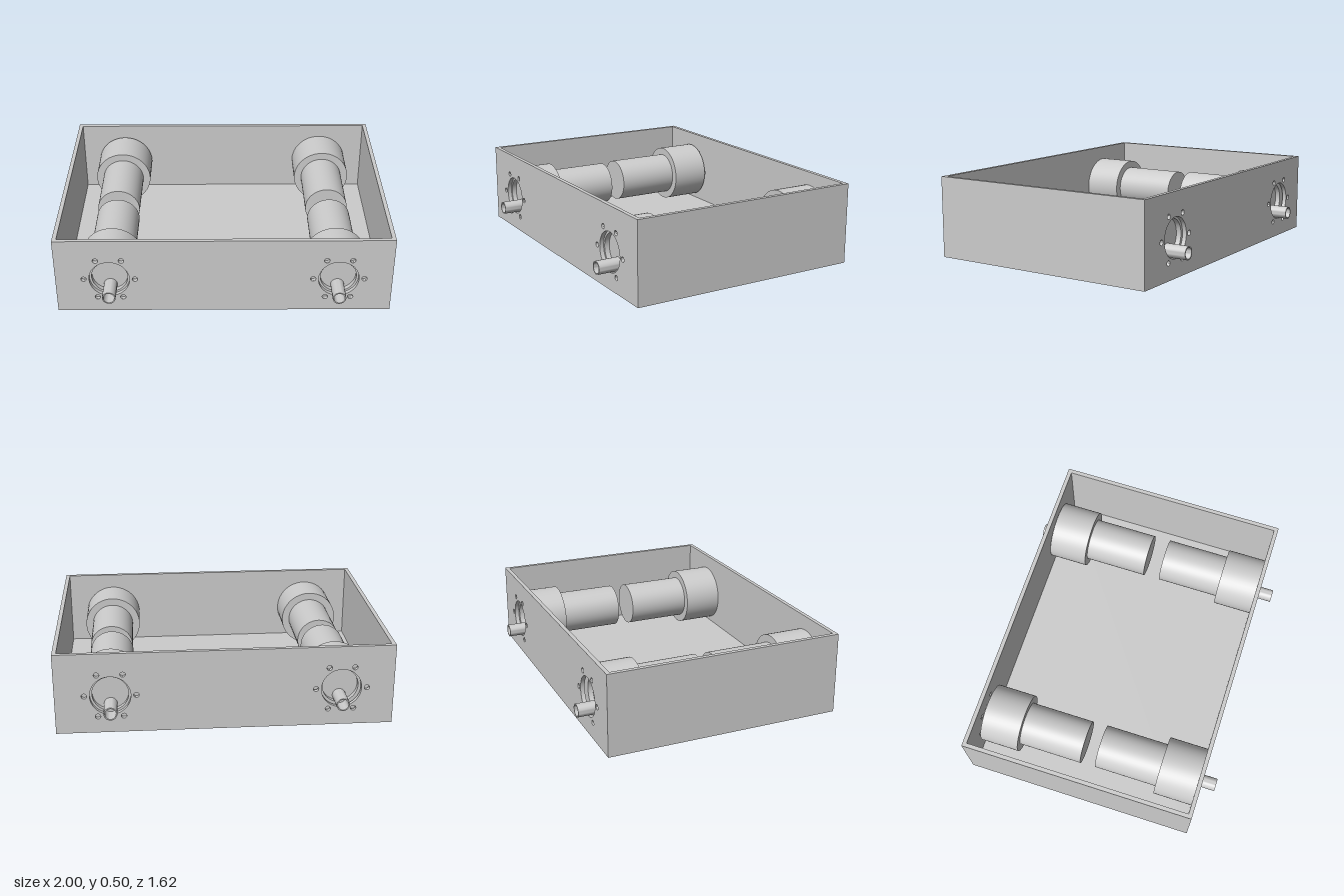
import * as THREE from 'three';
import { toCreasedNormals } from 'three/addons/utils/BufferGeometryUtils.js';

const material = new THREE.MeshStandardMaterial({ color: 0xcccccc });
const WALL = 0.025, HEIGHT = 0.5, FRONT = 0.72, BACK = -0.73;

// x and y of the axis, shaft height, gearbox face and facing (+1 front, -1 back)
const MOTORS = [
  { x: -0.68, y: 0.23, shaftY: 0.155, face: 0.695, side: 1 },
  { x: 0.68, y: 0.227, shaftY: 0.148, face: 0.695, side: 1 },
  { x: -0.685, y: 0.235, shaftY: 0.16, face: 0.69, side: -1 },
  { x: 0.675, y: 0.235, shaftY: 0.157, face: 0.702, side: -1 },
];

function add(parent, name, geometry, x = 0, y = 0, z = 0) {
  const mesh = new THREE.Mesh(geometry, material);
  mesh.name = name;
  mesh.position.set(x, y, z);
  parent.add(mesh);
  return mesh;
}

// Turned solid along +z from [radius, z] pairs
function turned(profile, segments) {
  const points = profile.map(([r, z]) => new THREE.Vector2(r, z));
  const geometry = new THREE.LatheGeometry(points, segments).rotateX(Math.PI / 2);
  return toCreasedNormals(geometry, 0.6);
}

function circleHole(shape, x, y, r) {
  shape.holes.push(new THREE.Path().absarc(x, y, r, 0, Math.PI * 2, true));
}

// End wall with a shaft opening and six screw holes per motor
function endWall(motors) {
  const shape = new THREE.Shape();
  shape.moveTo(-1, 0).lineTo(1, 0).lineTo(1, HEIGHT).lineTo(-1, HEIGHT).closePath();
  for (const { x, y } of motors) {
    circleHole(shape, x, y, 0.12);
    for (let i = 0; i < 6; i++) {
      const a = (i * Math.PI) / 3;
      circleHole(shape, x + 0.152 * Math.cos(a), y + 0.152 * Math.sin(a), 0.016);
    }
  }
  const geometry = new THREE.ExtrudeGeometry(shape, {
    depth: WALL, bevelEnabled: false, curveSegments: 32,
  });
  return toCreasedNormals(geometry, 0.6);
}

// Motor facing +z, with the gearbox face at z = 0
function createMotor(shaftDrop) {
  const motor = new THREE.Group();
  motor.name = 'gearMotor';
  add(motor, 'motorBody', turned([[0, -0.645], [0.136, -0.645], [0.136, -0.245]], 48));
  // Gearbox with a shallow round recess in its face
  add(motor, 'gearbox', turned([
    [0, -0.245], [0.183, -0.245], [0.183, 0], [0.107, 0], [0.107, -0.03], [0, -0.03],
  ], 48));
  // Hollow, off-centre output shaft
  add(motor, 'outputShaft', turned([
    [0.04, -0.03], [0.04, 0.112], [0.033, 0.112], [0.033, 0.01], [0, 0.01],
  ], 32), 0, -shaftDrop, 0);
  return motor;
}

export function createModel() {
  const model = new THREE.Group();
  model.name = 'motorTray';

  // Open tray
  const tray = new THREE.Group();
  tray.name = 'tray';
  model.add(tray);
  const innerDepth = FRONT - BACK - 2 * WALL;
  const midZ = (FRONT + BACK) / 2;
  add(tray, 'floor', new THREE.BoxGeometry(2 - 2 * WALL, WALL, innerDepth), 0, WALL / 2, midZ);
  for (const s of [-1, 1]) {
    add(tray, s > 0 ? 'leftWall' : 'rightWall',
      new THREE.BoxGeometry(WALL, HEIGHT, innerDepth), s * (1 - WALL / 2), HEIGHT / 2, midZ);
  }
  add(tray, 'frontWall', endWall(MOTORS.filter((m) => m.side > 0)), 0, 0, FRONT - WALL);
  add(tray, 'backWall', endWall(MOTORS.filter((m) => m.side < 0)), 0, 0, BACK);

  // Four motors, two facing each way
  for (const { x, y, shaftY, face, side } of MOTORS) {
    const motor = createMotor(y - shaftY);
    motor.position.set(x, y, side * face);
    if (side < 0) motor.rotation.y = Math.PI;
    model.add(motor);
  }
  return model;
}
